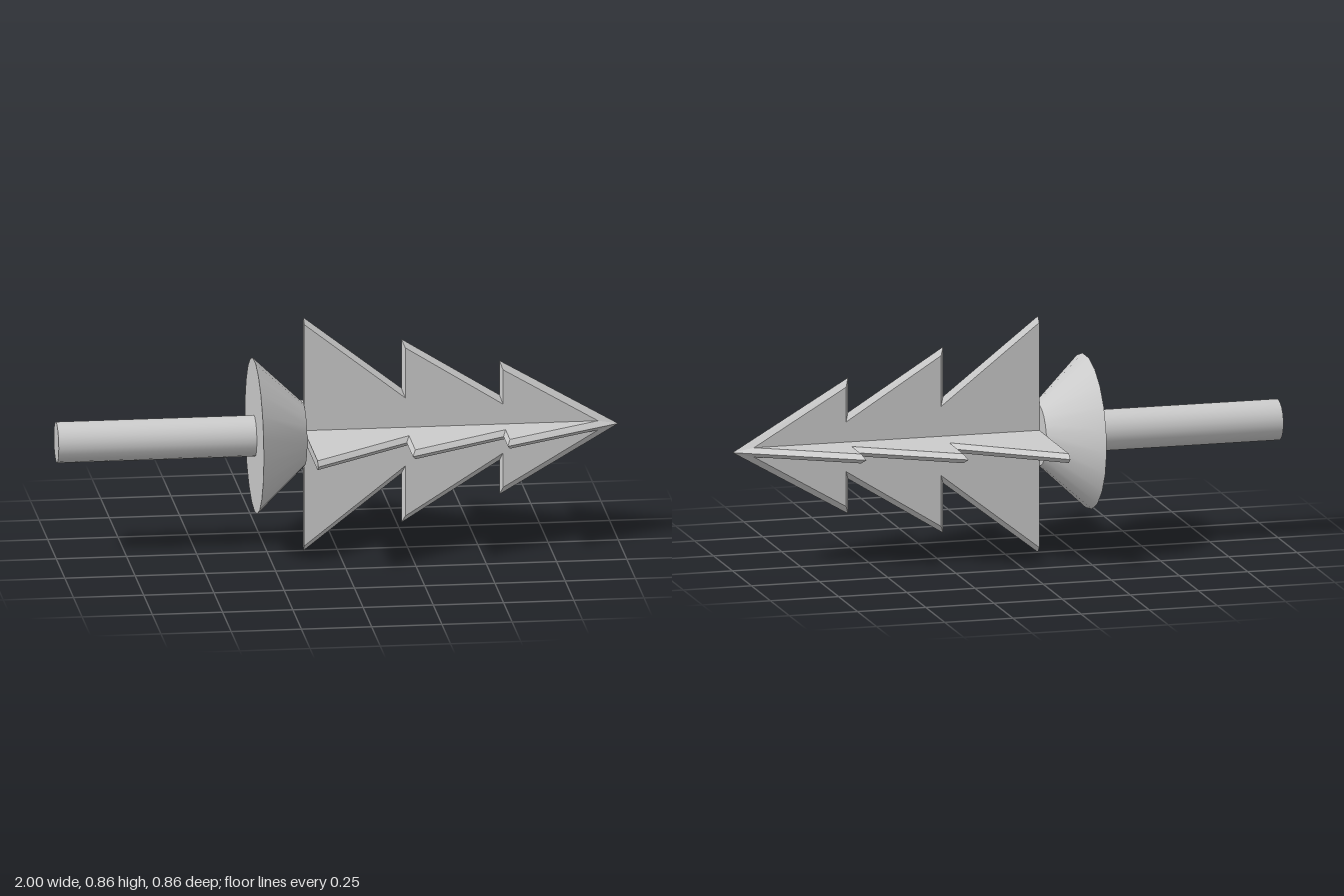
import * as THREE from 'three';

const AXIS_Y = 0.429;
const HALF_THICK = 0.017;

// Half outlines [x, distance from axis], from the rear barb to the nose
const RIDGE = [[-0.12, 0.428], [0.228, 0.157], [0.228, 0.337], [0.577, 0.12], [0.577, 0.246], [1, 0]];
const FACE = [[-0.12, 0.407], [0.24, 0.125], [0.24, 0.309], [0.588, 0.09], [0.588, 0.216], [0.955, 0]];

// Full closed outline, counter-clockwise: lower half to the nose, then back along the top
function closedOutline(half) {
  const lower = half.map(([x, r]) => new THREE.Vector2(x, -r));
  const upper = half.slice(0, -1).reverse().map(([x, r]) => new THREE.Vector2(x, r));
  return [...lower, ...upper];
}

// Barbed plate whose edges are bevelled on both sides to a central ridge
function barbedPlate() {
  const ridge = closedOutline(RIDGE);
  const face = closedOutline(FACE);
  const pos = [];
  const tri = (...pts) => pts.forEach((p) => pos.push(...p));
  const front = face.map((p) => [p.x, p.y, HALF_THICK]);
  const back = face.map((p) => [p.x, p.y, -HALF_THICK]);
  const mid = ridge.map((p) => [p.x, p.y, 0]);

  for (const [a, b, c] of THREE.ShapeUtils.triangulateShape(face, [])) {
    tri(front[a], front[b], front[c]);
    tri(back[a], back[c], back[b]);
  }
  for (let i = 0; i < mid.length; i++) {
    const j = (i + 1) % mid.length;
    tri(front[i], mid[i], mid[j]);
    tri(front[i], mid[j], front[j]);
    tri(mid[i], back[i], back[j]);
    tri(mid[i], back[j], mid[j]);
  }
  const geo = new THREE.BufferGeometry();
  geo.setAttribute('position', new THREE.Float32BufferAttribute(pos, 3));
  geo.computeVertexNormals();
  return geo;
}

export function createModel() {
  const group = new THREE.Group();
  const smooth = new THREE.MeshStandardMaterial({ color: 0xcccccc });
  const flat = new THREE.MeshStandardMaterial({ color: 0xcccccc, flatShading: true });

  const add = (name, geo, material) => {
    const mesh = new THREE.Mesh(geo, material);
    mesh.name = name;
    mesh.position.y = AXIS_Y;
    group.add(mesh);
    return mesh;
  };

  // Round section lying along x, from x0 to x1
  const round = (name, x0, r0, x1, r1) => {
    const geo = new THREE.CylinderGeometry(r1, r0, x1 - x0, 21, 1, false, Math.PI / 2);
    geo.rotateZ(-Math.PI / 2);
    geo.translate((x0 + x1) / 2, 0, 0);
    add(name, geo, smooth);
  };

  round('shaft', -1, 0.073, -0.295, 0.073);
  round('collar', -0.295, 0.277, -0.12, 0.112);

  // Two plates crossing at right angles
  const plate = barbedPlate();
  add('uprightBlade', plate, flat);
  add('levelBlade', plate, flat).rotation.x = Math.PI / 2;

  return group;
}
